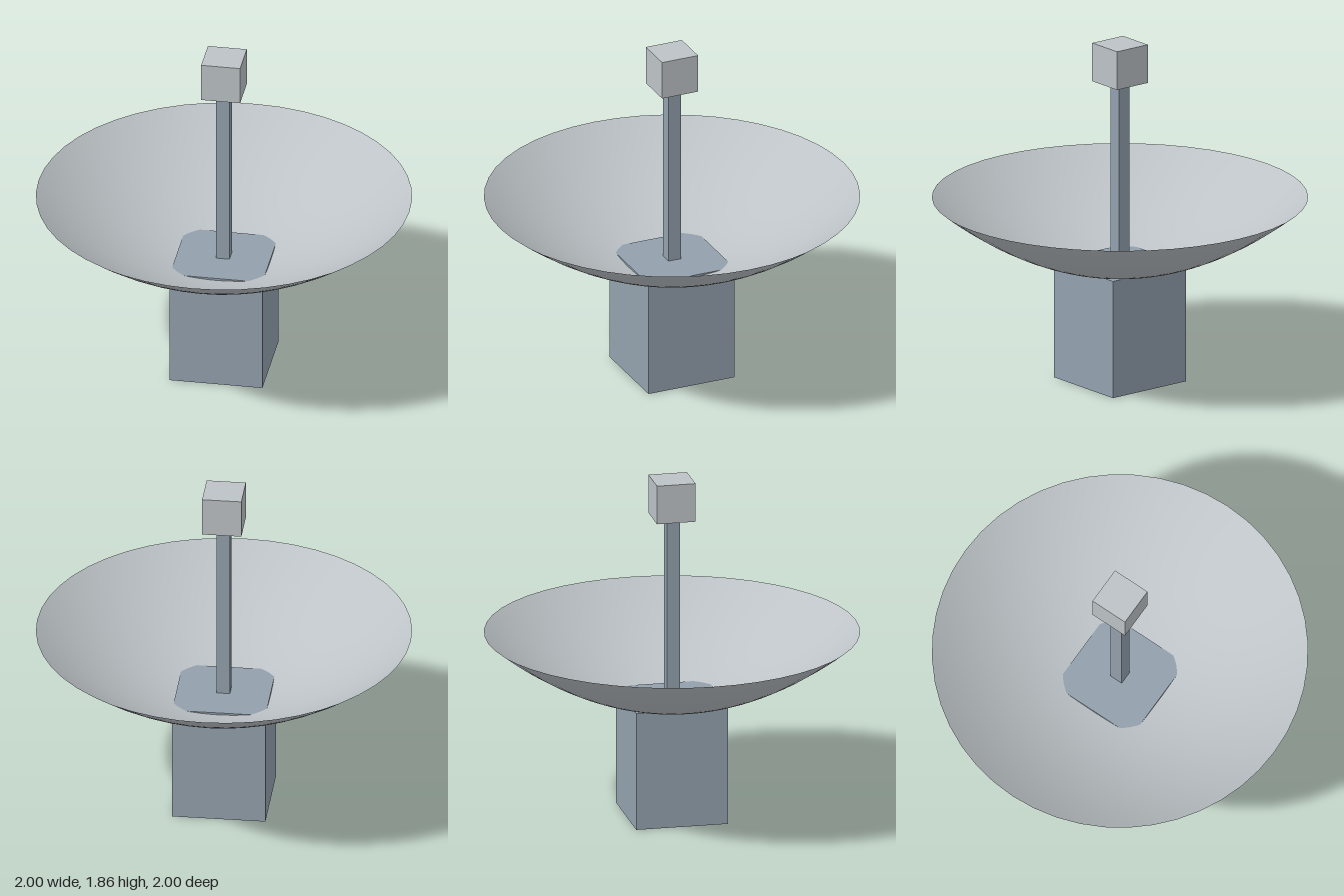
import * as THREE from 'three';

export function createModel() {
  const model = new THREE.Group();

  const silver = new THREE.MeshStandardMaterial({ color: 0xbdc3c7, side: THREE.DoubleSide });
  silver.name = 'silver';
  const blueGrey = new THREE.MeshStandardMaterial({ color: 0x93a1ad });
  blueGrey.name = 'blue grey';

  // Square block or post standing between two heights
  function block(name, width, bottom, top, material) {
    const mesh = new THREE.Mesh(new THREE.BoxGeometry(width, top - bottom, width), material);
    mesh.name = name;
    mesh.position.y = (bottom + top) / 2;
    model.add(mesh);
  }

  // Pedestal, whose top pokes slightly through the dish floor
  block('pedestal', 0.5, 0, 0.647, blueGrey);

  // Thin parabolic dish opening upward
  const profile = [];
  const steps = 24;
  for (let i = 0; i <= steps; i++) {
    const r = i / steps;
    profile.push(new THREE.Vector2(r, 0.61 + 0.4 * r * r));
  }
  const dish = new THREE.Mesh(new THREE.LatheGeometry(profile, 48), silver);
  dish.name = 'dish';
  model.add(dish);

  // Feed mast and receiver
  block('mast', 0.072, 0.62, 1.66, blueGrey);
  block('receiver', 0.21, 1.648, 1.86, silver);

  return model;
}
